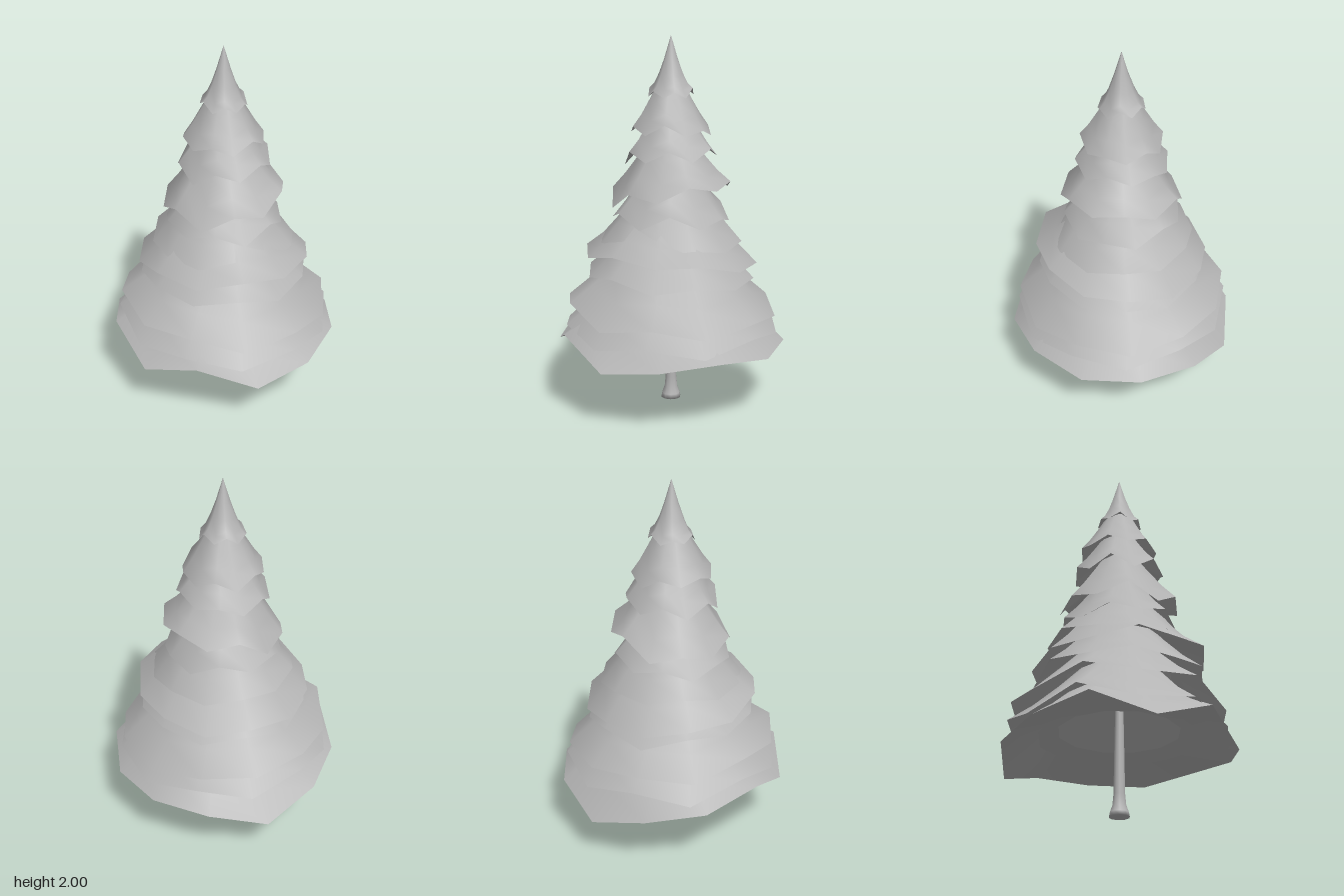
import * as THREE from 'three';

const SIDES = 12;

// small seeded generator for the ragged hems
function makeRandom(seed) {
  return () => {
    seed = (seed * 16807) % 2147483647;
    return seed / 2147483647;
  };
}

// Twelve-sided surface through rings [radius, y, share of the hem's rise and fall]
function ringSurface(rings, hem, turn) {
  const pos = [], index = [];
  rings.forEach(([r, y, share]) => {
    for (let j = 0; j < SIDES; j++) {
      const a = (j / SIDES) * Math.PI * 2 + turn;
      pos.push(Math.cos(a) * r, y + hem[j] * share, Math.sin(a) * r);
    }
  });
  for (let i = 0; i < rings.length - 1; i++) {
    for (let j = 0; j < SIDES; j++) {
      const k = (j + 1) % SIDES;
      const a = i * SIDES + j, b = i * SIDES + k;
      index.push(a, b, a + SIDES, b, b + SIDES, a + SIDES);
    }
  }
  const g = new THREE.BufferGeometry();
  g.setAttribute('position', new THREE.Float32BufferAttribute(pos, 3));
  g.setIndex(index);
  g.computeVertexNormals();
  return g;
}

// Concave rings of a skirt, from its top down to the hem
function skirtRings(radius, rimY, height, inner, power) {
  return [inner, 0.3, 0.55, 0.78, 1].map((t) =>
    [radius * t, rimY + height * Math.pow(1 - t, power), t * t]);
}

export function createModel() {
  const tree = new THREE.Group();
  tree.name = 'firTree';
  const grey = new THREE.MeshStandardMaterial({ color: 0xb4b4b4, side: THREE.DoubleSide });
  grey.name = 'plainGrey';
  const random = makeRandom(77);

  const add = (name, geometry) => {
    const mesh = new THREE.Mesh(geometry, grey);
    mesh.name = name;
    tree.add(mesh);
  };

  // trunk with a flared foot
  const profile = [[0, 0], [0.055, 0], [0.05, 0.025], [0.037, 0.06], [0.031, 0.12], [0.027, 0.35], [0.02, 0.72]];
  add('trunk', new THREE.LatheGeometry(profile.map(([r, y]) => new THREE.Vector2(r, y)), 10));

  // branch tiers from the top: radius, hem height, skirt height, raggedness, turn, tilt in x, tilt in z
  const tiers = [
    [0.122, 1.7, 0.3, 0.025, 0.22, 0, 0],
    [0.215, 1.505, 0.38, -0.035, 0.03, 0, 0.01],
    [0.247, 1.365, 0.4, -0.04, -0.08, 0.015, 0],
    [0.325, 1.18, 0.44, 0.06, 0.1, 0.045, 0],
    [0.315, 1.04, 0.46, -0.045, -0.1, 0, 0],
    [0.388, 0.905, 0.54, 0.025, 0.1, -0.01, 0],
    [0.47, 0.81, 0.53, 0.03, 0.05, 0, 0.05],
    [0.457, 0.715, 0.53, 0.04, 0.1, -0.01, 0.01],
    [0.573, 0.55, 0.58, -0.045, 0.05, -0.03, 0],
    [0.585, 0.44, 0.58, -0.05, 0.1, -0.025, 0],
  ];
  tiers.forEach(([r, y, h, rag, turn, tiltX, tiltZ], i) => {
    const hem = Array.from({ length: SIDES }, (_, j) => {
      const a = (j / SIDES) * Math.PI * 2 + turn;
      const jag = (j % 2 ? 0.55 : -0.55) + (random() - 0.5) * 0.9;
      return rag * jag + tiltX * Math.cos(a) + tiltZ * Math.sin(a);
    });
    const skirt = i ? skirtRings(r, y, h, 0.1, 1.12) : skirtRings(r, y, h, 0, 1.45);
    add(`branchTier${i + 1}`, ringSurface(skirt, hem, turn));
    // shallow underside running in from the hem
    const under = [[r, y, 1], [r * 0.75, y + r * 0.17, 0.5], [r * 0.5, y + r * 0.34, 0]];
    add(`branchUnderside${i + 1}`, ringSurface(under, hem, turn));
  });

  // widest tier with its uneven drooping hem and shallow hollow underside
  const low = [0.34, 0.38, 0.35, 0.31, 0.44, 0.33, 0.45, 0.38, 0.34, 0.245, 0.34, 0.35];
  const hem = low.map((y) => y - 0.36);
  add('bottomBranchTier', ringSurface(skirtRings(0.622, 0.36, 0.56, 0.1, 1.12), hem, -0.03));

  // stepped hollow: three nested rings with crisp edges between them
  const hollow = [[0.622, 0.36, 1], [0.43, 0.415, 0.1], [0.325, 0.45, 0], [0.02, 0.72, 0]];
  for (let i = 0; i < 3; i++) {
    add(`bottomUnderside${i + 1}`, ringSurface(hollow.slice(i, i + 2), hem, -0.03));
  }

  return tree;
}
